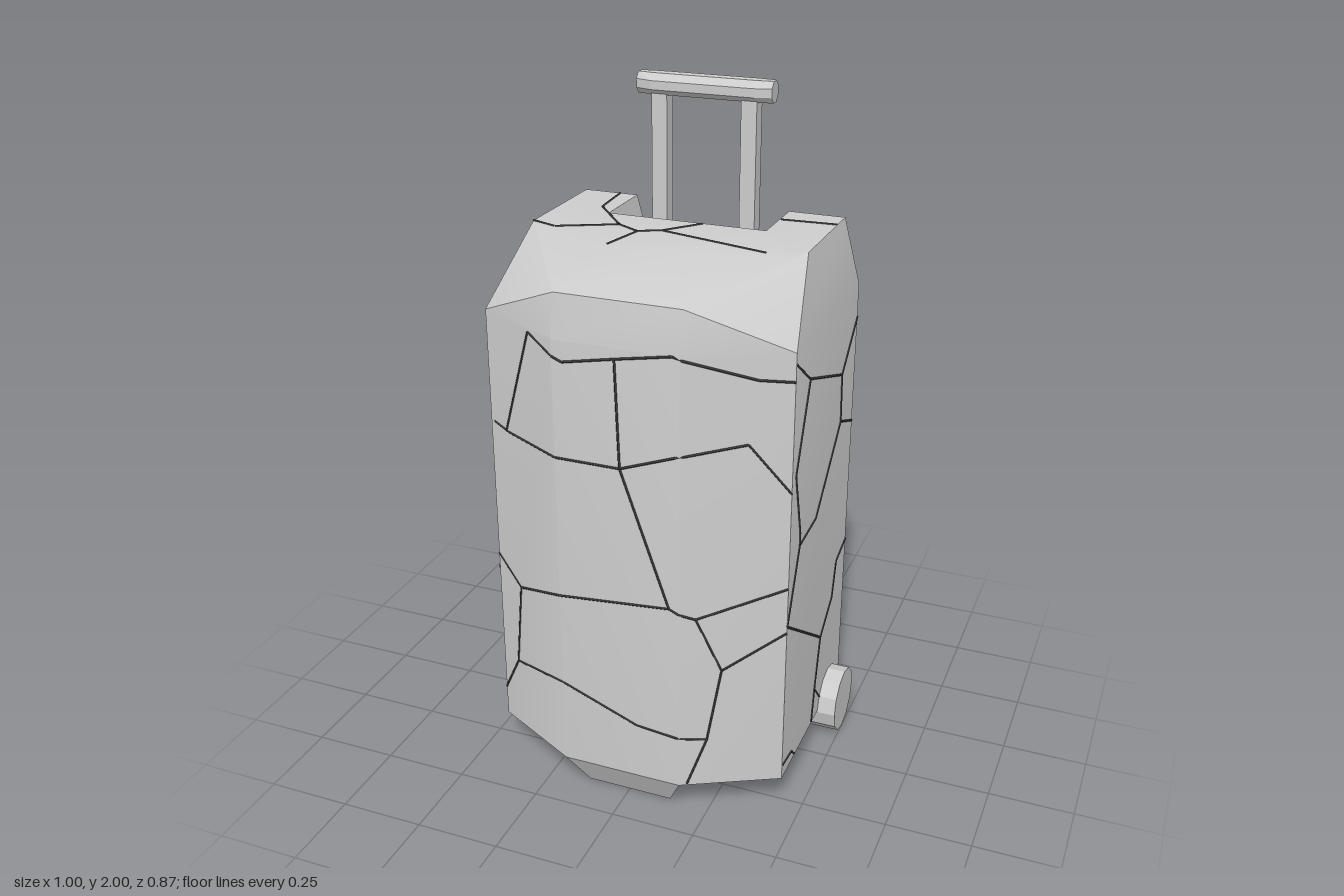
import * as THREE from 'three';
import { mergeGeometries, toCreasedNormals } from 'three/addons/utils/BufferGeometryUtils.js';

const grey = new THREE.MeshStandardMaterial({ color: 0xcccccc });
const faceted = new THREE.MeshStandardMaterial({ color: 0xcccccc, flatShading: true });
const dark = new THREE.MeshStandardMaterial({ color: 0x3a3a3a });

// Case shell: corners of the +x half, mirrored face by face
function shellGeometry() {
  const P = {
    A0: [0.18, 0.105, 0.43], B0: [0.445, 0.105, 0.29], C0: [0.445, 0.105, -0.3], D0: [0.18, 0.105, -0.345],
    A1: [0.18, 1.43, 0.43], B1: [0.445, 1.43, 0.29], C1: [0.445, 1.43, -0.3], D1: [0.18, 1.29, -0.345],
    T1: [0.18, 1.55, 0.405], T2: [0.4, 1.625, 0.07], T3: [0.4, 1.625, -0.28],
    T4: [0.235, 1.625, -0.28], T5: [0.235, 1.625, -0.075], F1: [0.18, 1.29, -0.11], M: [0.12, 1.625, 0.2],
  };
  const pos = [];
  const flip = ([x, y, z]) => [-x, y, z];
  const face = (pts) => {
    for (let i = 1; i < pts.length - 1; i++) pos.push(...pts[0], ...pts[i], ...pts[i + 1]);
  };
  // faces that exist once on each side
  for (const names of [
    'B0 C0 C1 B1', 'A0 B0 B1 A1', 'C0 D0 D1 C1',          // walls
    'B1 C1 T3 T2', 'C1 D1 T4 T3', 'A1 B1 T1', 'B1 T2 T1', // shoulder bevels
    'T2 T3 T4 T5', 'T2 T5 M', 'T1 T2 M',                  // lid
    'T5 T4 D1 F1',                                        // recess side
  ]) {
    const pts = names.split(' ').map((n) => P[n]);
    face(pts);
    face(pts.map(flip).reverse());
  }
  // strips that run across the middle: front, lid, recess, base
  for (const chain of ['A0 A1 T1 M T5 F1 D1', 'D0 C0 B0 A0']) {
    const c = chain.split(' ').map((n) => P[n]);
    for (let i = 0; i < c.length - 1; i++) face([flip(c[i]), c[i], c[i + 1], flip(c[i + 1])]);
  }
  const g = new THREE.BufferGeometry();
  g.setAttribute('position', new THREE.Float32BufferAttribute(pos, 3));
  return toCreasedNormals(g, 0.52);
}

// Shallow pointed panel on the back that houses the handle tubes
function panelGeometry() {
  const s = new THREE.Shape([[-0.18, 0.33], [0.18, 0.33], [0.18, 0.39], [0, 0.43], [-0.18, 0.39]]
    .map(([x, y]) => new THREE.Vector2(x, y)));
  const g = new THREE.ExtrudeGeometry(s, { depth: 1.185, bevelEnabled: false });
  g.rotateX(-Math.PI / 2).translate(0, 0.105, 0);
  return toCreasedNormals(g, 0.52);
}

// Front foot: a box drawn in towards the ground
function footGeometry() {
  const g = new THREE.BoxGeometry(0.36, 0.105, 0.21);
  const p = g.attributes.position;
  for (let i = 0; i < p.count; i++) {
    if (p.getY(i) < 0) {
      p.setX(i, p.getX(i) * 0.72);
      p.setZ(i, p.getZ(i) * 0.45);
    }
  }
  return g.translate(0, 0.0525, 0.325);
}

// Grip: eight-sided bar whose ends narrow in depth
function gripGeometry() {
  const g = new THREE.CylinderGeometry(1, 1, 0.4, 8, 4, false, Math.PI / 8);
  g.rotateZ(Math.PI / 2);
  const p = g.attributes.position;
  const k = 1 / Math.cos(Math.PI / 8);
  for (let i = 0; i < p.count; i++) {
    const x = p.getX(i);
    const end = Math.abs(x) > 0.15 ? 0.65 : 1;
    const inner = Math.abs(x) > 0.05 && Math.abs(x) < 0.15;
    p.setXYZ(i, inner ? Math.sign(x) * 0.15 : x, p.getY(i) * 0.03 * k, p.getZ(i) * 0.043 * k * end);
  }
  return g.translate(0, 1.97, -0.228);
}

// Thin cracks: each flat list is a polyline, mapped onto a surface by place(a, b)
function crackGeometry(lines, place) {
  const tubes = [];
  for (const l of lines) {
    for (let i = 0; i + 3 < l.length; i += 2) {
      const n = 8;
      const at = (t) => place(
        THREE.MathUtils.lerp(l[i], l[i + 2], t), THREE.MathUtils.lerp(l[i + 1], l[i + 3], t));
      for (let j = 0; j < n; j++) {
        const path = new THREE.LineCurve3(at(j / n), at((j + 1) / n));
        tubes.push(new THREE.TubeGeometry(path, 1, 0.0035, 4));
      }
    }
  }
  return mergeGeometries(tubes);
}

const V = (x, y, z) => new THREE.Vector3(x, y, z);
const frontZ = (x) => 0.43 - Math.max(0, Math.abs(x) - 0.18) * (0.14 / 0.265);

const frontCracks = [
  [-0.43, 1.1, -0.37, 1.09, 0.01, 1.09, 0.15, 0.69, 0.22, 0.66, 0.445, 0.74],
  [0.15, 0.69, -0.18, 0.66, -0.35, 0.6, -0.445, 0.67],
  [0.01, 1.09, 0, 1.4, 0.16, 1.43, 0.36, 1.36, 0.445, 1.35],
  [0.01, 1.09, 0.17, 1.15, 0.34, 1.18, 0.445, 1.03],
  [-0.35, 0.6, -0.38, 0.33, -0.445, 0.2],
  [-0.38, 0.33, -0.18, 0.37, 0.05, 0.28, 0.25, 0.26, 0.285, 0.49, 0.22, 0.66],
  [0.285, 0.49, 0.445, 0.6], [0.25, 0.26, 0.2, 0.11],
  [0, 1.4, -0.15, 1.37, -0.27, 1.42, -0.38, 1.09],
];
const sideCracks = [
  [0.29, 1.4, 0.16, 1.31, 0.26, 1.07, 0.2, 0.87, 0.2, 0.83, 0.05, 0.84, -0.17, 1.05, -0.3, 1],
  [0.16, 1.31, -0.16, 1.2, -0.17, 1.05], [-0.16, 1.2, -0.3, 1.33],
  [0.2, 0.83, 0.29, 0.62, -0.06, 0.38, -0.02, 0.22, -0.12, 0.11],
  [-0.06, 0.38, -0.17, 0.46, -0.2, 0.57, -0.3, 0.6],
  [-0.02, 0.22, 0, 0.11], [0.29, 0.15, 0.2, 0.14, 0.17, 0.11],
];
const backCracks = [
  [-0.18, 0.85, -0.05, 0.9, 0.06, 0.8, 0.18, 0.85], [-0.05, 0.9, 0, 1.29],
  [0.06, 0.8, 0.02, 0.5, -0.18, 0.4], [0.02, 0.5, 0.18, 0.35],
];
const lidCracks = [
  [-0.4, 0.07, -0.32, 0.1, -0.16, 0.02, -0.09, 0.06, -0.03, 0.03, 0.05, -0.07],
  [-0.16, 0.02, -0.28, -0.13, -0.29, -0.28], [-0.03, 0.03, 0.3, 0.115],
  [-0.09, 0.06, -0.12, 0.2], [0.24, -0.19, 0.4, -0.2],
];

export function createModel() {
  const model = new THREE.Group();
  const add = (name, geometry, material = grey) => {
    const mesh = new THREE.Mesh(geometry, material);
    mesh.name = name;
    model.add(mesh);
    return mesh;
  };

  add('caseShell', shellGeometry());
  add('backPanel', panelGeometry());
  add('frontFoot', footGeometry(), faceted);
  add('handleGrip', gripGeometry(), faceted);

  for (const [side, s] of [['left', 1], ['right', -1]]) {
    add(side + 'HandlePost', new THREE.BoxGeometry(0.046, 0.67, 0.046)).position.set(s * 0.133, 1.615, -0.228);
    const wheel = new THREE.CylinderGeometry(0.1, 0.1, 0.11, 12).rotateZ(Math.PI / 2);
    add(side + 'Wheel', wheel, faceted).position.set(s * 0.445, 0.1, -0.17);
    add(side + 'Cracks', crackGeometry(sideCracks, (z, y) => V(s * 0.445, y, z)), dark);
  }

  add('frontCracks', crackGeometry(frontCracks, (x, y) => V(x, y, frontZ(x))), dark);
  add('backCracks', crackGeometry(backCracks, (x, y) => V(x, y, -0.43 + Math.abs(x) * 0.222)), dark);
  add('lidCracks', crackGeometry(lidCracks, (x, z) => V(x, 1.625, z)), dark);
  return model;
}
